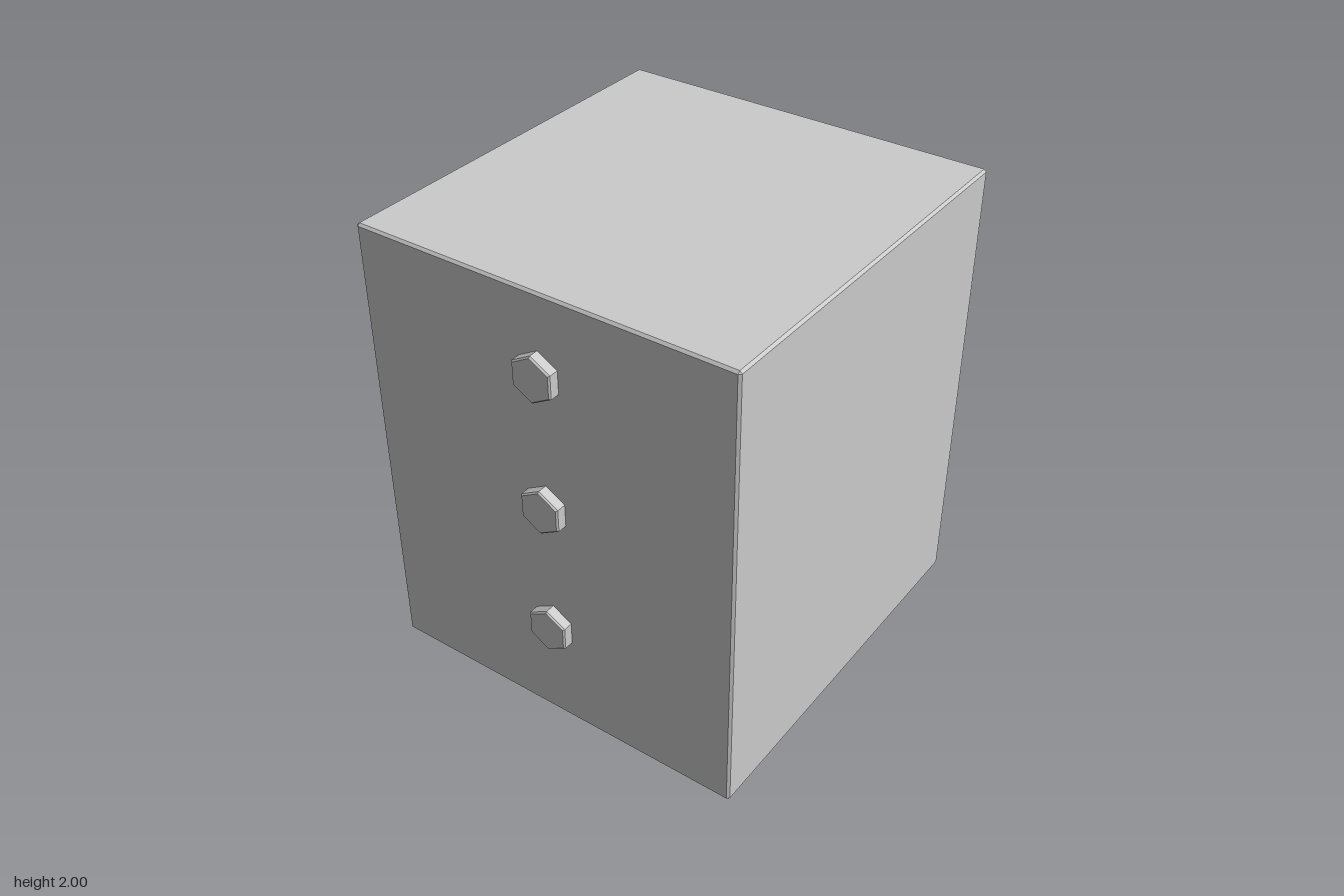
import * as THREE from 'three';
import { ConvexGeometry } from 'three/addons/geometries/ConvexGeometry.js';

const grey = new THREE.MeshStandardMaterial({ color: 0xcccccc, flatShading: true });

// Box with a flat chamfer along every edge
function chamferedBox(w, h, d, c) {
  const points = [];
  for (const x of [-1, 1]) for (const y of [-1, 1]) for (const z of [-1, 1]) {
    for (let axis = 0; axis < 3; axis++) {
      const p = [w / 2, h / 2, d / 2].map((s, i) => (i === axis ? s : s - c));
      points.push(new THREE.Vector3(x * p[0], y * p[1], z * p[2]));
    }
  }
  return new ConvexGeometry(points);
}

// Hexagonal bolt head with a small chamfer, pointing along -x, a corner upwards
function hexHead(radius, height, c) {
  const profile = [
    [0, -0.01], [radius, -0.01], [radius, height - c], [radius - c, height], [0, height],
  ].map(([r, y]) => new THREE.Vector2(r, y));
  return new THREE.LatheGeometry(profile, 6, Math.PI / 2).rotateZ(Math.PI / 2);
}

export function createModel() {
  const model = new THREE.Group();
  model.name = 'cabinet';

  // Solid body, shifted so that the heads are counted in the centring
  const right = 0.885, left = -0.838;
  const body = new THREE.Mesh(chamferedBox(right - left, 2, 1.674, 0.01), grey);
  body.name = 'body';
  body.position.set((right + left) / 2, 1, 0);
  model.add(body);

  // Column of three bolt heads on the -x side
  const headGeometry = hexHead(0.1, 0.047, 0.007);
  [0.475, 1.07, 1.665].forEach((y, i) => {
    const head = new THREE.Mesh(headGeometry, grey);
    head.name = `hexHead${i + 1}`;
    head.position.set(left, y, 0);
    model.add(head);
  });

  return model;
}
